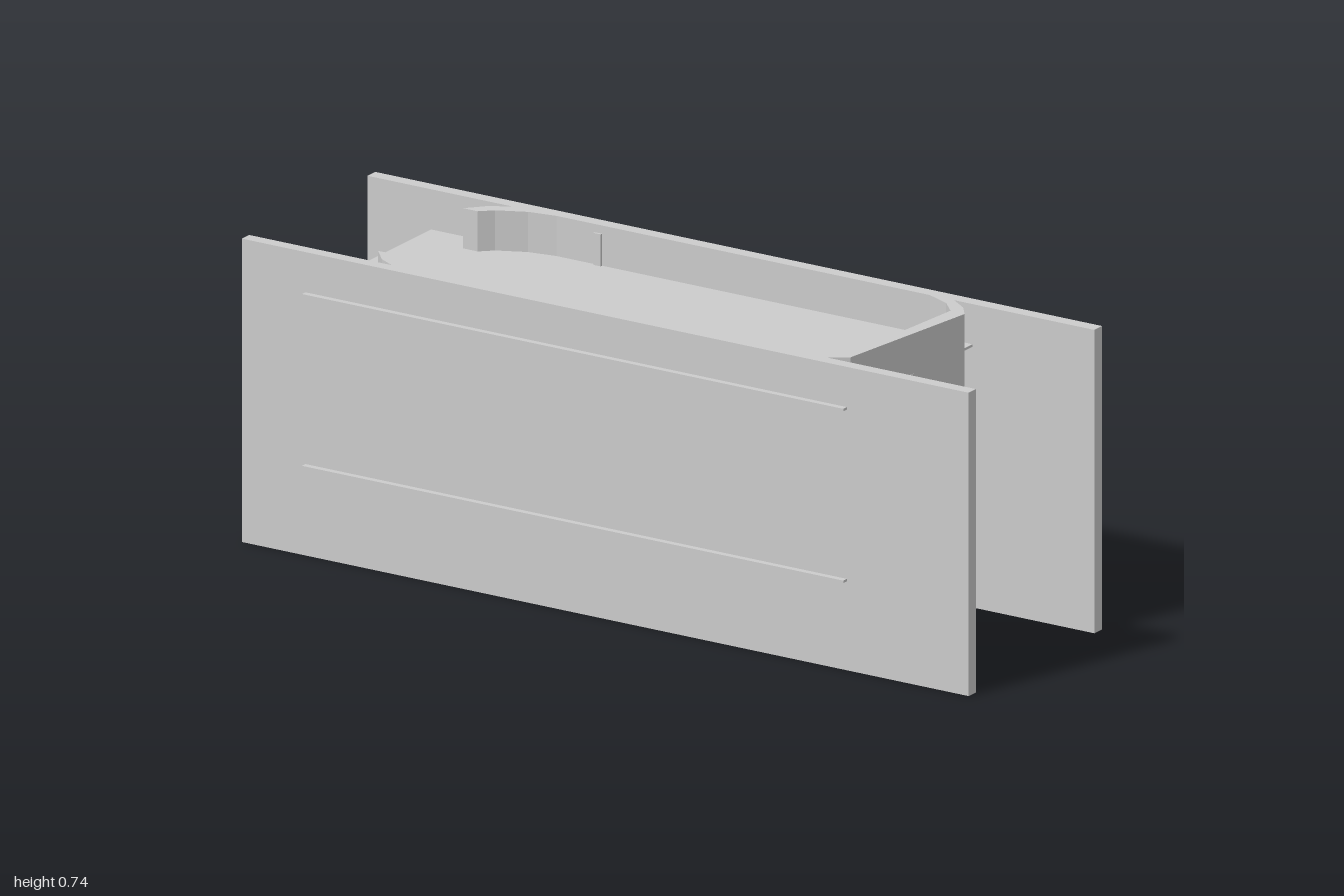
import * as THREE from 'three';

const H = 0.74;
const mat = new THREE.MeshStandardMaterial({ color: 0xcccccc, flatShading: true, side: THREE.DoubleSide });

export function createModel() {
  const root = new THREE.Group();

  const add = (name, geo, x = 0, y = 0, z = 0) => {
    const m = new THREE.Mesh(geo, mat);
    m.name = name;
    m.position.set(x, y, z);
    root.add(m);
    return m;
  };
  // box given by its limits
  const box = (name, x0, x1, y0, y1, z0, z1) =>
    add(name, new THREE.BoxGeometry(x1 - x0, y1 - y0, z1 - z0), (x0 + x1) / 2, (y0 + y1) / 2, (z0 + z1) / 2);
  // upright extrusion of a plan outline given as [x, z]
  const planShape = pts => new THREE.Shape(pts.map(([x, z]) => new THREE.Vector2(x, -z)));
  const upright = (name, shape, y, h) => {
    const geo = new THREE.ExtrudeGeometry(shape, { depth: h, bevelEnabled: false, curveSegments: 24 });
    geo.rotateX(-Math.PI / 2);
    return add(name, geo, 0, y, 0);
  };

  // long outer plates
  box('frontPlate', -1, 1, 0, H, 0.248, 0.279);
  box('backPlate', -1, 1, 0, H, -0.285, -0.252);

  // curved lips beside the open end
  for (const [name, s] of [['frontLip', 1], ['backLip', -1]]) {
    upright(name, planShape([
      [-0.69, 0.18], [-0.65, 0.18], [-0.62, 0.208], [-0.55, 0.24], [-0.48, 0.252],
      [-0.60, 0.252], [-0.65, 0.225],
    ].map(([x, z]) => [x, z * s])), 0, H);
  }

  // slanted end wall with its rounded corners
  upright('endWall', planShape([
    [0.54, -0.255], [0.61, -0.225], [0.648, -0.185], [0.618, 0.195], [0.55, 0.232], [0.47, 0.25],
    [0.59, 0.25], [0.635, 0.218], [0.688, -0.183], [0.66, -0.22], [0.61, -0.255],
  ]), 0, H);

  // thin shelves that pass through slots in the plates; the lower one has a round opening
  for (const [name, y, hole] of [['lowerShelf', 0.217, true], ['upperShelf', 0.636, false]]) {
    const shape = planShape([[-0.825, 0.294], [0.665, 0.294], [0.665, -0.294], [-0.825, -0.294]]);
    if (hole) shape.holes.push(new THREE.Path().absarc(-0.37, 0, 0.08, 0, Math.PI * 2, true));
    upright(name, shape, y, 0.006);
  }

  // cross beams at the open end, leaving a gap between them
  box('lowerBeam', -0.76, -0.69, 0.22, 0.345, -0.18, 0.18);
  box('upperBeam', -0.76, -0.69, 0.525, 0.638, -0.18, 0.18);

  // small rib on the back wall
  box('wallRib', -0.375, -0.355, 0.64, 0.72, -0.253, -0.246);

  return root;
}
